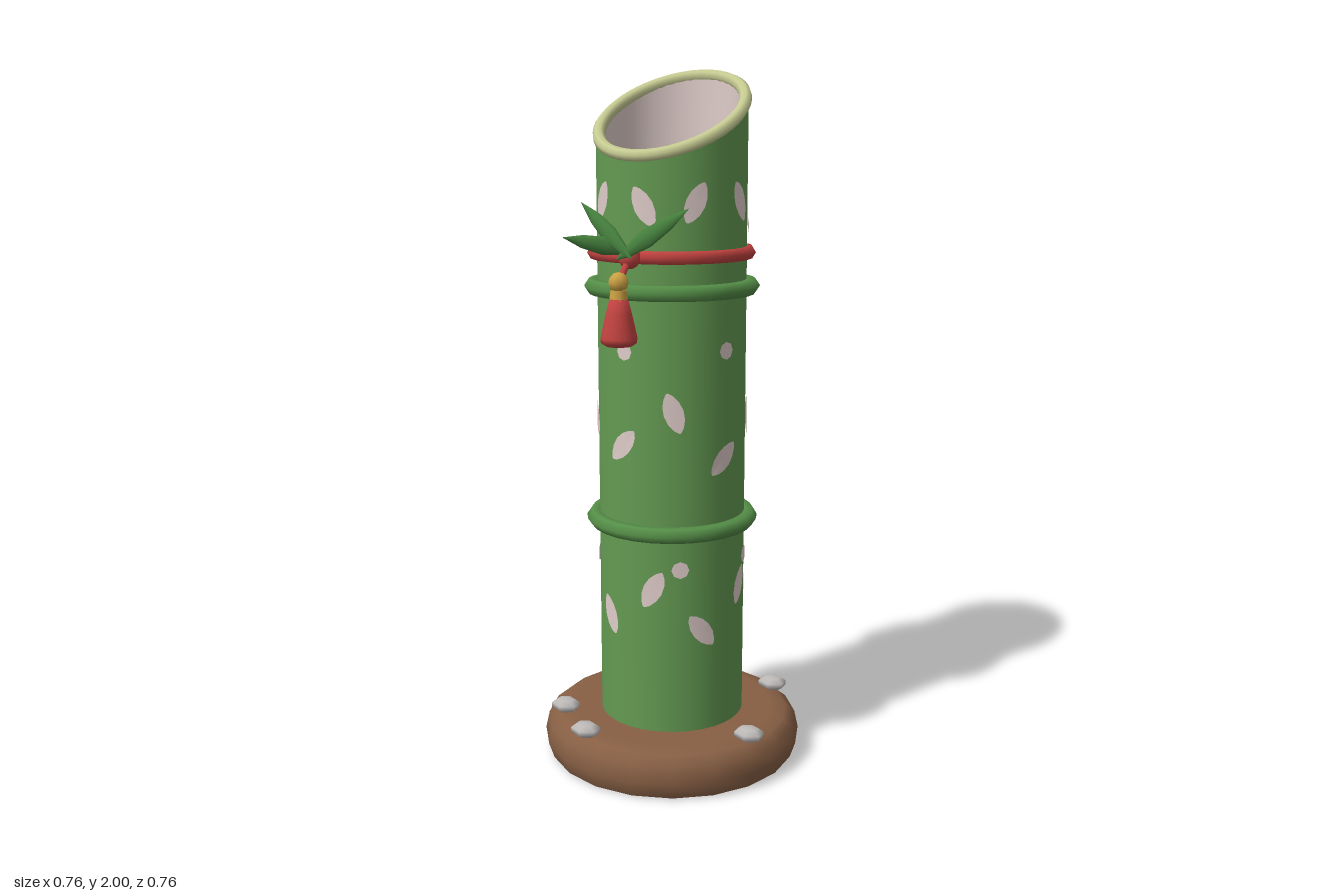
import * as THREE from 'three';

const mat = (name, color, side = THREE.FrontSide) => {
  const m = new THREE.MeshStandardMaterial({ color, side });
  m.name = name;
  return m;
};

const RADIUS = 0.212;
const RIM_Y = 1.873;
const SLOPE = 0.548; // the cut drops towards the front

export function createModel() {
  const green = mat('stalk green', 0x649a52);
  const nodeGreen = mat('node green', 0x558f48);
  const leafGreen = mat('leaf green', 0x47833f);
  const rimColor = mat('pale rim', 0xc6cb92);
  const blush = mat('blush', 0xdfccc9, THREE.DoubleSide);
  const brown = mat('earth brown', 0x875f44);
  const red = mat('cord red', 0xc24340);
  const gold = mat('gold', 0xcda244);
  const gray = mat('stone gray', 0xbcb9b7);

  const model = new THREE.Group();
  model.name = 'bambooStalk';
  const add = (name, geometry, material, x = 0, y = 0, z = 0, parent = model) => {
    const mesh = new THREE.Mesh(geometry, material);
    mesh.name = name;
    mesh.position.set(x, y, z);
    parent.add(mesh);
    return mesh;
  };
  const lathe = (pts, sides) =>
    new THREE.LatheGeometry(pts.map(([r, y]) => new THREE.Vector2(r, y)), sides);

  // Moves the vertices at rim height onto the slanted cut
  const slantTop = (geometry) => {
    const p = geometry.attributes.position;
    for (let i = 0; i < p.count; i++) {
      if (p.getY(i) > RIM_Y - 0.001) p.setY(i, RIM_Y - SLOPE * p.getZ(i));
    }
    return geometry;
  };

  // Base
  add('base', lathe([[0, 0], [0.36, 0], [0.368, 0.004], [0.384, 0.05], [0.373, 0.1],
    [0.345, 0.122], [0.3, 0.13], [0, 0.132]], 20), brown).rotation.y = Math.PI / 20;

  // Stalk, hollow and slanted rim
  const stalk = new THREE.CylinderGeometry(RADIUS, RADIUS, RIM_Y - 0.1, 40, 1, true);
  stalk.translate(0, (RIM_Y + 0.1) / 2, 0);
  add('stalk', slantTop(stalk), green);

  const bowl = [];
  for (let i = 0; i <= 8; i++) {
    const t = (i / 8) * Math.PI / 2;
    bowl.push([0.19 * Math.sin(t), 1.58 - 0.14 * Math.cos(t)]);
  }
  add('hollow', slantTop(lathe([...bowl, [0.19, RIM_Y]], 40)), blush);

  const rimPoints = [];
  for (let i = 0; i < 24; i++) {
    const a = (i / 24) * Math.PI * 2;
    const z = 0.203 * Math.cos(a);
    rimPoints.push(new THREE.Vector3(0.203 * Math.sin(a), RIM_Y - SLOPE * z, z));
  }
  add('rim', new THREE.TubeGeometry(new THREE.CatmullRomCurve3(rimPoints, true), 48, 0.018, 8, true), rimColor);

  // Node rings and the cord
  for (const y of [0.725, 1.4]) {
    const ring = add('nodeRing', new THREE.TorusGeometry(0.222, 0.028, 6, 28), nodeGreen, 0, y, 0);
    ring.rotation.x = Math.PI / 2;
    ring.scale.z = 0.85;
  }
  const cord = add('cord', new THREE.TorusGeometry(0.22, 0.02, 6, 20), red, -0.005, 1.495, -0.006);
  cord.rotation.x = Math.PI / 2;

  // Flecks: thin plates wrapped on the stalk, as [angle, height, tilt] in degrees
  const wrap = (width, length, pointed, angle, y, tilt) => {
    const g = new THREE.CircleGeometry(1, pointed ? 14 : 8);
    const p = g.attributes.position;
    const a0 = THREE.MathUtils.degToRad(angle);
    const t = THREE.MathUtils.degToRad(tilt);
    for (let i = 0; i < p.count; i++) {
      const u = p.getX(i) * (pointed ? Math.sqrt(Math.abs(p.getX(i))) : 1) * width;
      const v = p.getY(i) * length;
      const a = a0 + (u * Math.cos(t) + v * Math.sin(t)) / RADIUS;
      const r = RADIUS + 0.004;
      p.setXYZ(i, r * Math.sin(a), y + v * Math.cos(t) - u * Math.sin(t), r * Math.cos(a));
    }
    g.computeVertexNormals();
    return g;
  };
  const petals = [
    [-80, 1.64, -15], [-36, 1.64, 25], [6, 1.63, -28], [44, 1.64, 25], [87, 1.64, -25], [137, 1.64, 22],
    [-134, 1.0, 30], [-55, 1.03, -25], [-13, 0.97, 42], [28, 1.07, -18], [69, 0.93, 45], [109, 1.03, -14],
    [-87, 0.49, -10], [-28, 0.46, -22], [12, 0.56, 27], [50, 0.435, -38], [91, 0.54, 22], [132, 0.48, -30],
  ];
  for (const [a, y, tilt] of petals) add('petalFleck', wrap(0.028, 0.06, true, a, y, tilt), blush);
  const dots = [[-11, 1.235], [71, 1.235], [115, 1.565], [33, 0.62], [102, 0.62], [-70, 0.6]];
  for (const [a, y] of dots) add('dotFleck', wrap(0.025, 0.025, false, a, y, 0), blush);

  // Stones on the base
  for (const [x, z] of [[0.225, -0.25], [0.307, 0.12], [-0.265, 0.183], [-0.125, 0.305]]) {
    const stone = add('stone', new THREE.SphereGeometry(0.045, 6, 5).rotateY(Math.PI / 6), gray, x, 0.141, z);
    stone.scale.set(1.03, 0.48, 0.87);
  }

  // Tassel hanging from the knot
  const tassel = new THREE.Group();
  tassel.name = 'tassel';
  tassel.position.set(-0.006, 0, 0);
  model.add(tassel);
  add('knot', new THREE.SphereGeometry(0.03, 10, 8), red, 0, 1.495, 0.24, tassel);
  add('loop', new THREE.TubeGeometry(new THREE.LineCurve3(
    new THREE.Vector3(0, 1.495, 0.24), new THREE.Vector3(0, 1.435, 0.302)), 1, 0.01, 6), red, 0, 0, 0, tassel);
  add('bead', new THREE.SphereGeometry(0.028, 8, 6), gold, 0, 1.435, 0.302, tassel);
  add('collar', new THREE.CylinderGeometry(0.022, 0.026, 0.03, 10), gold, 0, 1.4, 0.302, tassel);
  add('threads', lathe([[0, 1.265], [0.035, 1.266], [0.049, 1.275], [0.05, 1.288],
    [0.036, 1.35], [0.025, 1.392], [0, 1.394]], 14), red, 0, 0, 0.302, tassel);

  // Leaves at the knot, each from base to tip
  const leaves = [
    [[-0.03, 1.49, 0.275], [0.167, 1.63, 0.23]],
    [[0.02, 1.495, 0.275], [-0.155, 1.64, 0.24]],
    [[0.0, 1.51, 0.225], [-0.165, 1.55, 0.323]],
  ];
  for (const [from, to] of leaves) {
    const a = new THREE.Vector3(...from);
    const b = new THREE.Vector3(...to);
    const up = b.clone().sub(a);
    const len = up.length();
    up.normalize();
    const sideways = up.clone().cross(new THREE.Vector3(0, 0, 1)).normalize();
    const normal = sideways.clone().cross(up);
    const g = lathe([[0, 0], [0.014, 0.15], [0.025, 0.42], [0.018, 0.72], [0, 1]], 8);
    g.scale(1, len, 0.45);
    g.applyMatrix4(new THREE.Matrix4().makeBasis(sideways, up, normal).setPosition(a));
    add('leaf', g, leafGreen);
  }
  return model;
}
